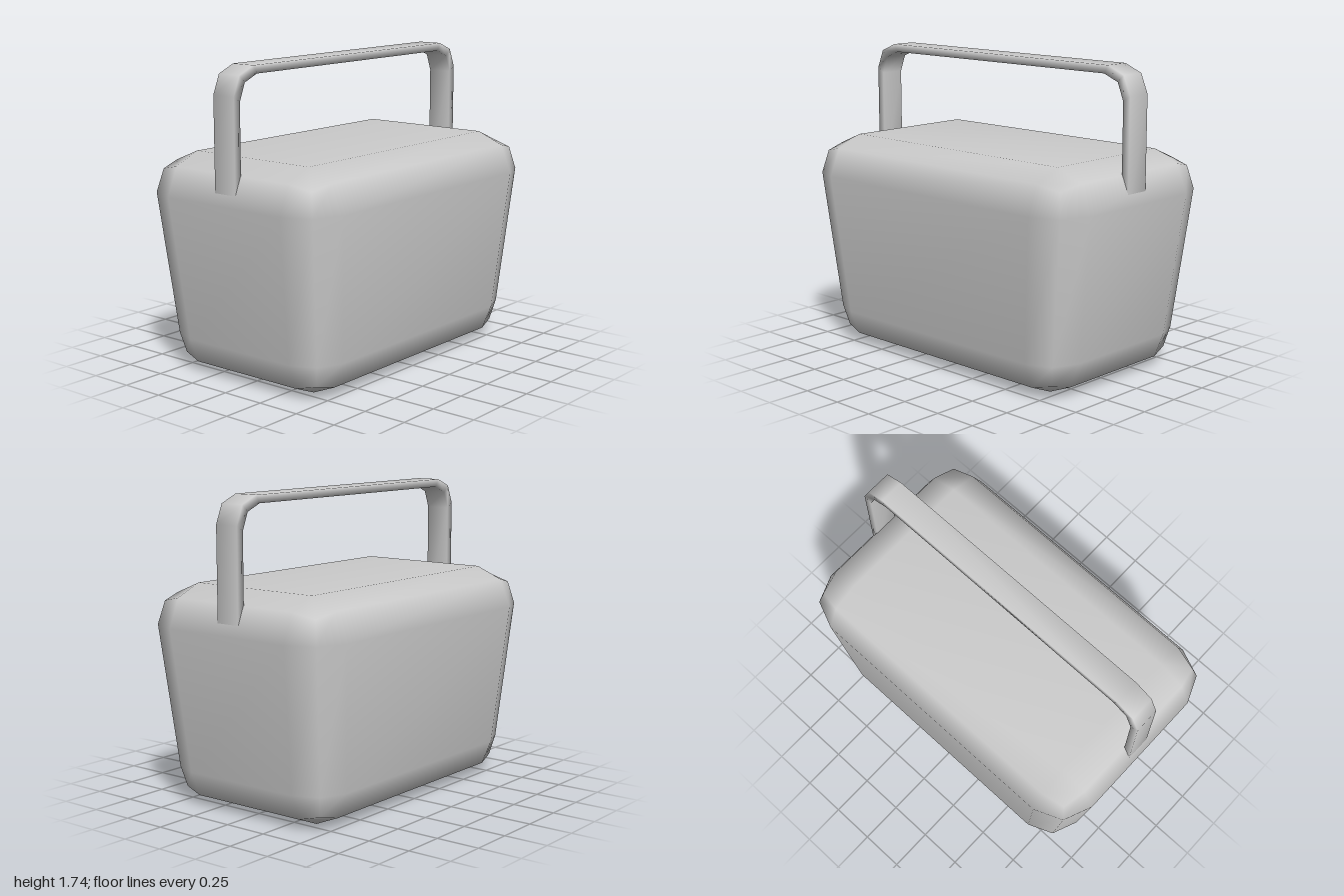
import * as THREE from 'three';
import { RoundedBoxGeometry } from 'three/addons/geometries/RoundedBoxGeometry.js';
import { mergeVertices } from 'three/addons/utils/BufferGeometryUtils.js';

const material = new THREE.MeshStandardMaterial({ color: 0xcccccc });

// Rounded box with two-step bevels, its lower half shrunk to taper the sides
function bodyGeometry() {
  const rounded = new RoundedBoxGeometry(2, 1.3, 1.25, 1, 0.225);
  rounded.deleteAttribute('uv');
  rounded.deleteAttribute('normal');
  rounded.clearGroups();
  const geometry = mergeVertices(rounded, 1e-4);
  const p = geometry.attributes.position;
  for (let i = 0; i < p.count; i++) {
    const s = p.getY(i) < 0 ? 0.9 : 1;
    p.setXYZ(i, p.getX(i) * s, p.getY(i) * s, p.getZ(i) * s);
  }
  geometry.translate(0, 0.585, 0);
  geometry.computeVertexNormals();
  return geometry;
}

// Flat bar bent into an arch: a rectangular section swept along [outer, inner] points
function handleGeometry() {
  const half = [
    [[0.975, 0.95], [0.93, 0.95]],
    [[0.975, 1.585], [0.93, 1.555]],
    [[0.931, 1.691], [0.892, 1.652]],
    [[0.825, 1.735], [0.8, 1.69]],
  ];
  const mirrored = half.map((pair) => pair.map(([x, y]) => [-x, y])).reverse();
  const stations = [...half, ...mirrored];
  const w = 0.072;
  const positions = [];
  for (const [o, i] of stations) positions.push(...i, w, ...o, w, ...o, -w, ...i, -w);

  const index = [];
  const quad = (a, b, c, d) => index.push(a, b, c, a, c, d);
  for (let k = 0; k < stations.length - 1; k++) {
    for (let s = 0; s < 4; s++) {
      const a = k * 4 + s;
      const b = k * 4 + ((s + 1) % 4);
      quad(a, b, b + 4, a + 4);
    }
  }
  // End caps, sunk inside the body
  const e = (stations.length - 1) * 4;
  quad(3, 2, 1, 0);
  quad(e, e + 1, e + 2, e + 3);

  const geometry = new THREE.BufferGeometry();
  geometry.setAttribute('position', new THREE.Float32BufferAttribute(positions, 3));
  geometry.setIndex(index);
  geometry.computeVertexNormals();
  return geometry;
}

export function createModel() {
  const model = new THREE.Group();
  model.name = 'carryBox';
  const add = (name, geometry) => {
    const mesh = new THREE.Mesh(geometry, material);
    mesh.name = name;
    model.add(mesh);
  };
  add('body', bodyGeometry());
  add('handle', handleGeometry());
  return model;
}
